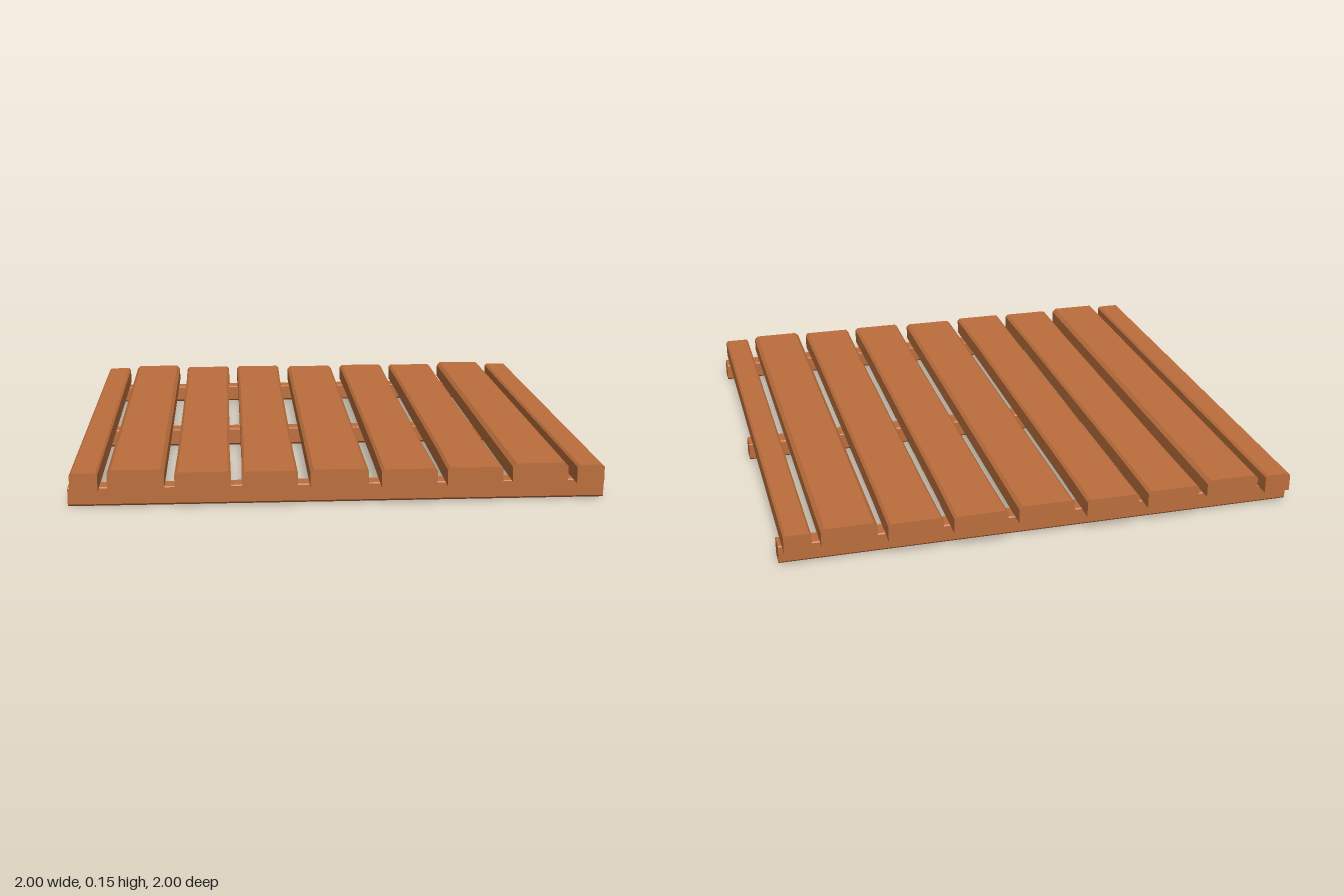
import * as THREE from 'three';

const wood = new THREE.MeshStandardMaterial({ color: 0xbc6e3c, flatShading: true });

// Timber along z, its section chamfered at the top (ct) and bottom (cb)
function timber(name, w, h, length, ct, cb, waist = 0) {
  const x = w / 2;
  const points = [
    [-x + cb, 0], [x - cb, 0], [x, cb], [x, h - ct],
    [x - ct, h], [-x + ct, h], [-x, h - ct], [-x, cb],
  ].map(([px, py]) => new THREE.Vector2(px, py));
  const geometry = new THREE.ExtrudeGeometry(new THREE.Shape(points), {
    depth: length, steps: waist ? 6 : 1, bevelEnabled: false,
  });
  geometry.translate(0, 0, -length / 2);
  // Worn boards are slightly narrower along the middle
  if (waist) {
    const p = geometry.attributes.position;
    for (let i = 0; i < p.count; i++) {
      const inner = Math.abs(p.getZ(i)) < length * 0.4;
      if (inner) p.setX(i, p.getX(i) * (1 - waist));
    }
    geometry.computeVertexNormals();
  }
  const mesh = new THREE.Mesh(geometry, wood);
  mesh.name = name;
  return mesh;
}

export function createModel() {
  const group = new THREE.Group();
  group.name = 'woodenPlatform';

  // Three cross beams under the deck
  [-0.888, -0.001, 0.888].forEach((z, i) => {
    const beam = timber(`crossBeam${i + 1}`, 0.076, 0.072, 2, 0.004, 0.008);
    beam.rotation.y = Math.PI / 2;
    beam.position.set(0, 0.003, z);
    group.add(beam);
  });

  // Deck boards: x, width, bottom, height, length, top chamfer, bottom chamfer, waist
  const boards = [
    [0, 0.216, 0.072, 0.073, 1.97, 0.012, 0.004, 0],
    [0.257, 0.206, 0.072, 0.073, 1.998, 0.010, 0.003, 0.03],
    [0.502, 0.206, 0.072, 0.073, 1.985, 0.010, 0.003, 0.03],
    [0.746, 0.208, 0.078, 0.077, 1.97, 0.014, 0.008, 0],
    [0.935, 0.102, 0.072, 0.073, 1.97, 0.008, 0.002, 0],
  ];
  boards.forEach(([x, w, y, h, length, ct, cb, waist], i) => {
    for (const side of x ? [1, -1] : [1]) {
      const label = x ? (side > 0 ? 'Left' : 'Right') : 'Centre';
      const board = timber(`deckBoard${label}${i || ''}`, w, h, length, ct, cb, waist);
      board.position.set(side * x, y, 0);
      group.add(board);
    }
  });

  return group;
}
